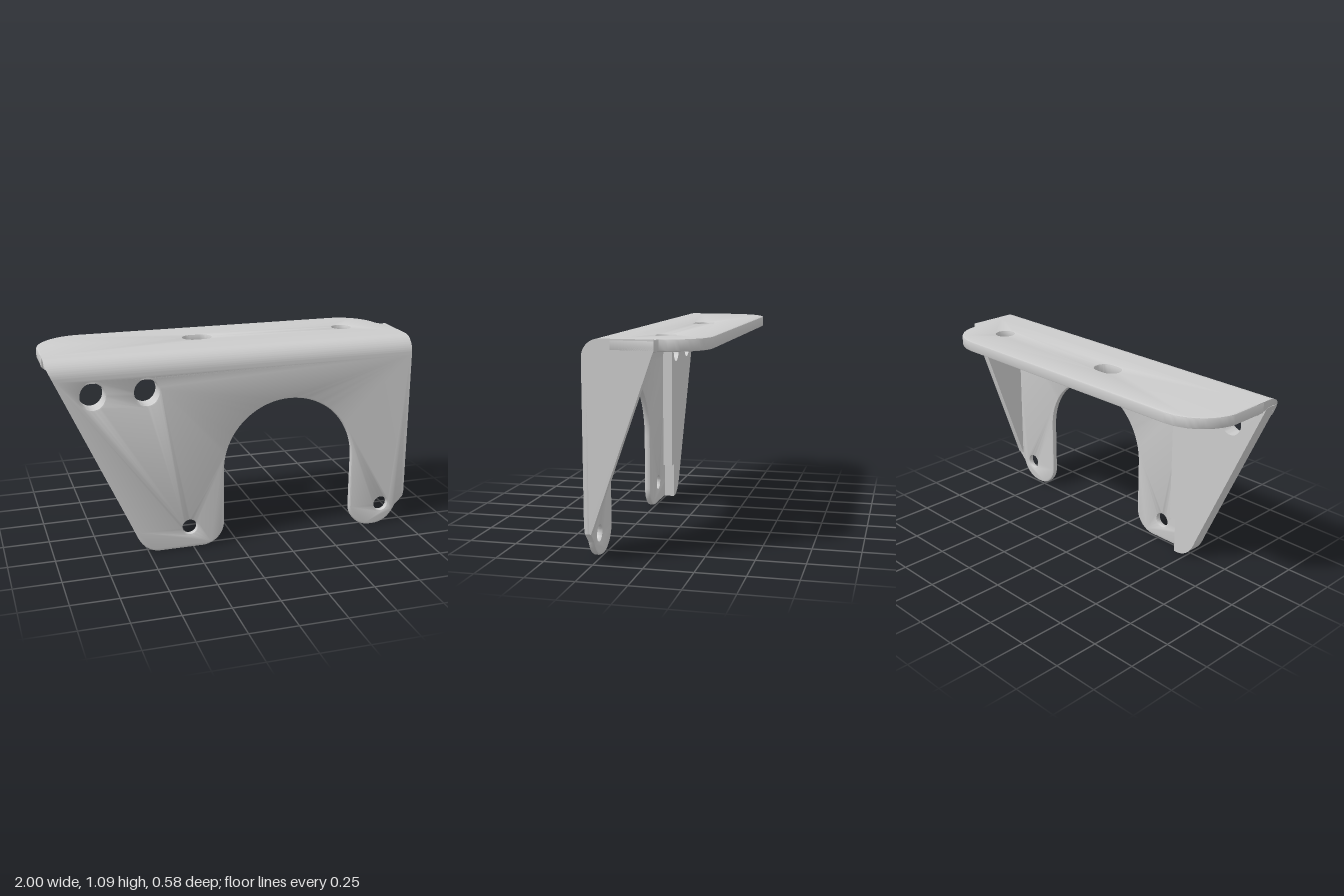
import * as THREE from 'three';
import { toCreasedNormals } from 'three/addons/utils/BufferGeometryUtils.js';

const material = new THREE.MeshStandardMaterial({ color: 0xcccccc });

// x of the sloping end at height y
const slopeX = (y) => -1 + Math.max(0, 1.07 - y) * 0.4526;

function hole(shape, x, y, rx, ry = rx) {
  const path = new THREE.Path();
  path.absellipse(x, y, rx, ry, 0, Math.PI * 2, true);
  shape.holes.push(path);
}

// Extrudes a shape to an exact depth, with an optional small rounded edge
function extrude(shape, depth, bevel = 0) {
  return new THREE.ExtrudeGeometry(shape, {
    depth: depth - 2 * bevel,
    bevelEnabled: bevel > 0,
    bevelThickness: bevel,
    bevelSize: bevel,
    bevelOffset: -bevel,
    bevelSegments: 2,
    curveSegments: 20,
  }).translate(0, 0, bevel);
}

// Extrudes a (z, y) profile along x
function alongX(shape, x0, x1) {
  return extrude(shape, x1 - x0).rotateY(-Math.PI / 2).scale(-1, 1, 1);
}

// Restores outward faces after the mirror in alongX and places the piece
function profileAlongX(shape, x0, x1) {
  const g = alongX(shape, x0, x1).translate(x0, 0, 0);
  const p = g.attributes.position;
  for (let i = 0; i < p.count; i += 3) {
    const b = new THREE.Vector3().fromBufferAttribute(p, i + 1);
    const c = new THREE.Vector3().fromBufferAttribute(p, i + 2);
    p.setXYZ(i + 1, c.x, c.y, c.z);
    p.setXYZ(i + 2, b.x, b.y, b.z);
  }
  return g;
}

function upperHoles(shape) {
  for (const x of [-0.77, -0.49]) hole(shape, x, 0.9, 0.065, 0.07);
}

export function createModel() {
  const group = new THREE.Group();
  const add = (name, geometry) => {
    geometry.deleteAttribute('uv');
    const mesh = new THREE.Mesh(toCreasedNormals(geometry, 0.6), material);
    mesh.name = name;
    group.add(mesh);
  };

  // Front plate with two feet and an arched opening
  const front = new THREE.Shape();
  front.moveTo(slopeX(1.0), 1.0);
  front.lineTo(-0.57, 0.12);
  front.quadraticCurveTo(-0.53, 0.005, -0.44, 0);
  front.lineTo(-0.2, 0);
  front.absarc(-0.2, 0.125, 0.125, -Math.PI / 2, 0, false);
  front.lineTo(-0.075, 0.43);
  front.absarc(0.295, 0.43, 0.37, Math.PI, 0, true);
  front.lineTo(0.665, 0.13);
  front.absarc(0.795, 0.13, 0.13, Math.PI, Math.PI * 1.5, false);
  front.lineTo(0.82, 0);
  front.quadraticCurveTo(0.91, 0.005, 0.95, 0.1);
  front.lineTo(1, 0.15);
  front.lineTo(1, 1.0);
  front.closePath();
  upperHoles(front);
  hole(front, -0.27, 0.12, 0.04);
  hole(front, 0.86, 0.12, 0.04);
  add('frontPlate', extrude(front, 0.035, 0.01).translate(0, 0, 0.255));

  // Thicker pad behind the sloping end
  const pad = new THREE.Shape();
  pad.moveTo(slopeX(1.04), 1.04);
  pad.lineTo(-0.57, 0.12);
  pad.quadraticCurveTo(-0.53, 0.005, -0.44, 0);
  pad.lineTo(-0.42, 0);
  pad.lineTo(-0.42, 0.2);
  pad.lineTo(-0.38, 0.2);
  pad.lineTo(-0.38, 1.04);
  pad.closePath();
  upperHoles(pad);
  add('backPad', extrude(pad, 0.07).translate(0, 0, 0.2));

  // Rounded bend between front and top, cut to the slope at one end
  const bend = new THREE.Shape();
  bend.moveTo(0.29, 0.97);
  bend.lineTo(0.29, 1.0);
  bend.absarc(0.2, 1.0, 0.09, 0, Math.PI / 2, false);
  bend.lineTo(0.1, 1.09);
  bend.lineTo(0.1, 1.03);
  bend.lineTo(0.2, 1.03);
  bend.quadraticCurveTo(0.25, 1.03, 0.255, 0.97);
  bend.closePath();
  const bendGeometry = profileAlongX(bend, -1, 1);
  const p = bendGeometry.attributes.position;
  for (let i = 0; i < p.count; i++) {
    if (p.getX(i) < 0 && p.getZ(i) > 0.15) p.setX(i, slopeX(p.getY(i)));
  }
  add('bend', bendGeometry);

  // Inner fillet under the bend
  const fillet = new THREE.Shape();
  fillet.moveTo(0.26, 1.035);
  fillet.lineTo(0.16, 1.035);
  fillet.quadraticCurveTo(0.24, 1.01, 0.256, 0.86);
  fillet.lineTo(0.26, 0.86);
  fillet.closePath();
  add('innerFillet', profileAlongX(fillet, -0.39, 0.965));

  // Top plate with rounded rear corners, drawn with -z upward
  const top = new THREE.Shape();
  top.moveTo(-1, -0.15);
  top.lineTo(1, -0.15);
  top.lineTo(1, 0.06);
  top.lineTo(0.965, 0.075);
  top.lineTo(0.955, 0.1);
  top.bezierCurveTo(0.945, 0.2, 0.86, 0.29, 0.74, 0.29);
  top.lineTo(-0.74, 0.29);
  top.bezierCurveTo(-0.88, 0.29, -0.98, 0.19, -1, 0.07);
  top.closePath();
  const slot = new THREE.Path();
  slot.absarc(-0.155, 0.05, 0.055, Math.PI * 1.5, Math.PI / 2, true);
  slot.absarc(-0.105, 0.05, 0.055, Math.PI / 2, -Math.PI / 2, true);
  slot.closePath();
  top.holes.push(slot);
  hole(top, 0.72, 0.05, 0.053);
  add('topPlate', extrude(top, 0.06, 0.008).rotateX(-Math.PI / 2).translate(0, 1.03, 0));

  // Triangular side gusset
  const gusset = new THREE.Shape();
  gusset.moveTo(0.28, 0.15);
  gusset.lineTo(0.29, 0.18);
  gusset.lineTo(0.29, 1.0);
  gusset.absarc(0.2, 1.0, 0.09, 0, Math.PI / 2, false);
  gusset.lineTo(-0.06, 1.09);
  gusset.lineTo(-0.06, 1.04);
  gusset.lineTo(0.255, 0.15);
  gusset.closePath();
  add('sideGusset', profileAlongX(gusset, 0.96, 1));

  return group;
}
